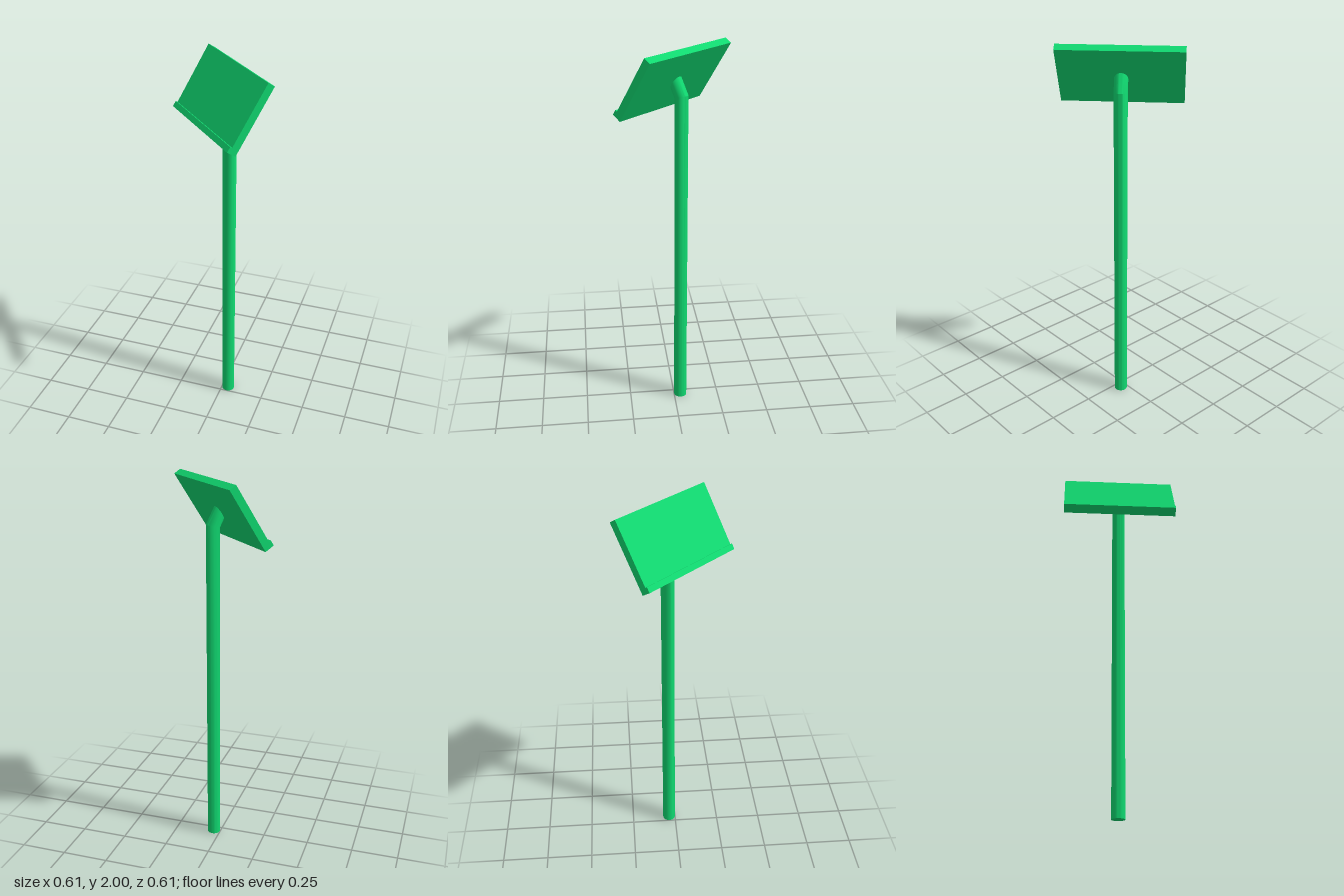
import * as THREE from 'three';
import { toCreasedNormals } from 'three/addons/utils/BufferGeometryUtils.js';

const WIDTH = 0.626;                        // board width
const TILT = THREE.MathUtils.degToRad(32.5); // board lean from vertical
const BEND = THREE.MathUtils.degToRad(28);   // elbow angle of the post
const BACK_BOTTOM = new THREE.Vector2(0.075, 1.675); // (forward, up)
const NORMAL = new THREE.Vector2(Math.cos(TILT), Math.sin(TILT));
const UP_SLOPE = new THREE.Vector2(-Math.sin(TILT), Math.cos(TILT));

// Point on the board's side profile: s up the slope, t out from the back face
const onBoard = (s, t) =>
  BACK_BOTTOM.clone().addScaledVector(UP_SLOPE, s).addScaledVector(NORMAL, t);

// Tilted board with a small ledge along its lower edge
function boardGeometry() {
  const profile = new THREE.Shape([
    onBoard(0, 0), onBoard(0, 0.052), onBoard(0.03, 0.052),
    onBoard(0.03, 0.04), onBoard(0.361, 0.04), onBoard(0.361, 0),
  ]);
  const geo = new THREE.ExtrudeGeometry(profile, { depth: WIDTH, bevelEnabled: false });
  geo.translate(0, 0, -WIDTH / 2);
  geo.rotateY(-Math.PI / 2);
  return geo;
}

// Round post with a mitred elbow whose end is cut inside the board
function postGeometry() {
  const radius = 0.035, offset = -0.051, elbowY = 1.755;
  const geo = new THREE.CylinderGeometry(radius, radius, 2, 32, 2);
  const pos = geo.attributes.position;
  const plane = NORMAL.dot(onBoard(0, 0.02));
  const dir = new THREE.Vector2(Math.sin(BEND), Math.cos(BEND));
  for (let i = 0; i < pos.count; i++) {
    const level = Math.round(pos.getY(i)); // -1 foot, 0 elbow, 1 end
    const p = new THREE.Vector2(pos.getZ(i) + offset, 0);
    if (level >= 0) p.y = elbowY - Math.tan(BEND / 2) * pos.getZ(i);
    if (level > 0) p.addScaledVector(dir, (plane - NORMAL.dot(p)) / NORMAL.dot(dir));
    pos.setY(i, p.y);
    pos.setZ(i, p.x);
  }
  return toCreasedNormals(geo, Math.PI / 7);
}

export function createModel() {
  const model = new THREE.Group();
  model.name = 'lectern';
  const material = new THREE.MeshStandardMaterial({ color: 0x10d870 });
  for (const [name, geo] of [['board', boardGeometry()], ['post', postGeometry()]]) {
    const mesh = new THREE.Mesh(geo, material);
    mesh.name = name;
    model.add(mesh);
  }
  // The stand is turned toward its right
  model.rotation.y = THREE.MathUtils.degToRad(-45.7);
  return model;
}
